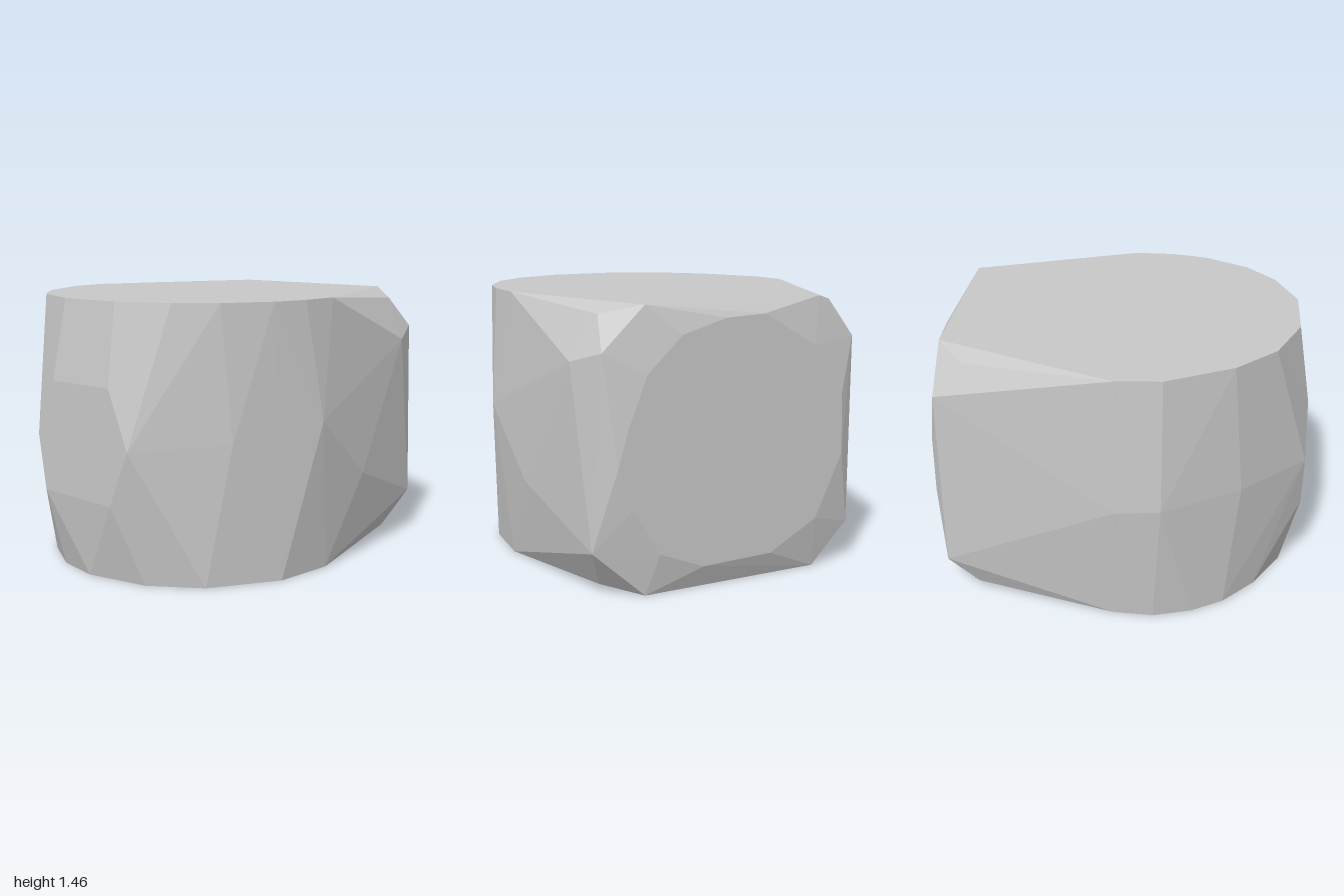
import * as THREE from 'three';
import { ConvexGeometry } from 'three/addons/geometries/ConvexGeometry.js';

const stoneGrey = new THREE.MeshStandardMaterial({ color: 0xc8c8c8 });
stoneGrey.name = 'stone grey';

// Rings at a fixed height: [x, z]
const topRim = [
  [-0.93, 0.2], [-0.81, 0.48], [-0.65, 0.66], [-0.4, 0.8], [-0.2, 0.845], [0.03, 0.845],
  [0.95, 0.51], [0.95, -0.5], [0, -0.89], [-0.24, -0.87], [-0.59, -0.69],
  [-0.8, -0.48], [-0.93, -0.17],
];
const bottomRim = [
  [-0.95, 0], [-0.88, 0.35], [-0.7, 0.61], [-0.34, 0.82], [0, 0.85],
  [0.95, 0.51], [0.95, -0.5], [0.02, -0.83], [-0.2, -0.84], [-0.41, -0.78],
  [-0.58, -0.68], [-0.75, -0.5], [-0.9, -0.25],
];
// Shallow rounded plateau on the left side, at x = 1: [y, z]
const sidePlateau = [
  [0.68, 0.68], [0.47, 0.6], [0.22, 0.45], [0.12, 0.2], [0.13, -0.2], [0.28, -0.48],
  [0.62, -0.64], [0.95, -0.63], [1.21, -0.45], [1.39, -0.14], [1.38, 0.08],
  [1.31, 0.33], [1.13, 0.52], [0.88, 0.62],
];
// Chipped corners: [x, y, z]
const corners = [
  [0.95, 1.24, 0.74], [0.8, 1.41, 0.69], [0.92, 0.25, 0.785], [0.79, 0.04, 0.69],
  [0.95, 1.24, -0.72], [0.79, 1.42, -0.68], [0.95, 0.22, -0.72], [0.79, 0.05, -0.68],
];
// Bulging belt round the middle: [x, y, z]
const belt = [
  [0.75, 1.18, 0.82], [0.29, 0.48, 0.885], [-0.12, 0.83, 0.91], [-0.61, 0.75, 0.71],
  [-1, 0.72, 0.35], [-1, 1.03, 0.22], [-1, 1.03, -0.2], [-1, 0.42, 0.22],
  [-1, 0.43, -0.28], [-1, 0.73, -0.33], [-0.65, 0.735, -0.67],
  [-0.24, 0.73, -0.915], [0, 0.71, -0.915],
];

export function createModel() {
  const points = [
    ...topRim.map(([x, z]) => [x, 1.46, z]),
    ...bottomRim.map(([x, z]) => [x, 0, z]),
    ...sidePlateau.map(([y, z]) => [1, y, z]),
    ...corners,
    ...belt,
  ].map((p) => new THREE.Vector3(...p));

  // Faceted convex stone block
  const rock = new THREE.Mesh(new ConvexGeometry(points), stoneGrey);
  rock.name = 'rock';

  const model = new THREE.Group();
  model.name = 'facetedRock';
  model.add(rock);
  return model;
}
